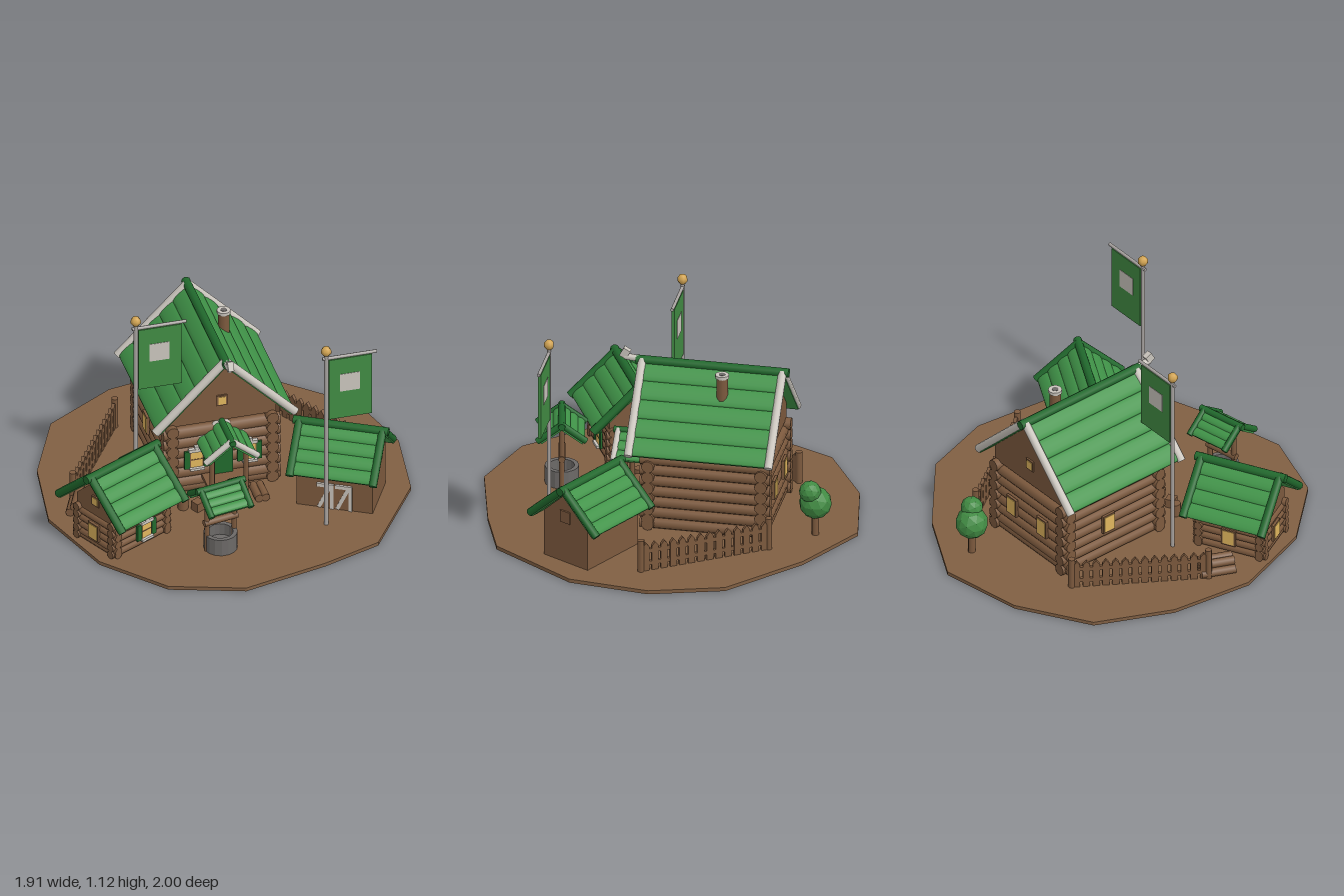
import * as THREE from 'three';

const mat = (name, color) => { const m = new THREE.MeshStandardMaterial({ color }); m.name = name; return m; };
const M = {
  earth: mat('earth brown', 0x805f43), wood: mat('wood brown', 0x7d5a3e), roof: mat('roof green', 0x409348),
  trim: mat('dark green', 0x21692d), cloth: mat('cloth green', 0x418b43), pale: mat('pale timber', 0xcac5bd),
  steel: mat('pole grey', 0xa8a3a0), stone: mat('stone grey', 0x6c6967), gold: mat('gold', 0xd2a452), glass: mat('window yellow', 0xe0b65e),
};
const V = (x, y, z) => new THREE.Vector3(x, y, z);

function add(parent, name, geo, material, x = 0, y = 0, z = 0) {
  const m = new THREE.Mesh(geo, material);
  m.name = name;
  m.position.set(x, y, z);
  parent.add(m);
  return m;
}
const box = (p, name, material, w, h, d, x, y, z) => add(p, name, new THREE.BoxGeometry(w, h, d), material, x, y, z);

// Round timber between two points
function log(p, name, material, a, b, r, sides = 10) {
  const m = add(p, name, new THREE.CylinderGeometry(r, r, a.distanceTo(b), sides), material);
  m.position.copy(a).lerp(b, 0.5);
  m.quaternion.setFromUnitVectors(V(0, 1, 0), b.clone().sub(a).normalize());
  return m;
}
function group(parent, name, x = 0, y = 0, z = 0, ry = 0) {
  const g = new THREE.Group();
  g.name = name;
  g.position.set(x, y, z);
  g.rotation.y = ry;
  parent.add(g);
  return g;
}

// Pitched roof, ridge along local x: slabs, rounded boards, barge logs and ridge log
function roof(p, o) {
  const { half, width, ridge, eave, rows, r, barge = M.trim, cx = 0 } = o;
  const g = group(p, 'roof', cx), rise = ridge - eave, slope = Math.hypot(width, rise);
  for (const s of [-1, 1]) {
    const side = group(g, 'roofSide', 0, (ridge + eave) / 2, s * width / 2);
    side.rotation.x = s * Math.atan2(rise, width);
    box(side, 'roofSlab', M.roof, half * 2 - r, 0.02, slope, 0, 0, 0);
    const pitch = slope / rows;
    const board = new THREE.CylinderGeometry(1, 1, half * 2 - r * 2, 12).rotateZ(Math.PI / 2).scale(1, 0.012, pitch * 0.54);
    for (let i = 0; i < rows; i++) {
      const b = add(side, 'roofBoard', board, M.roof, 0, 0.01, (i + 0.5 - rows / 2) * pitch);
      b.rotation.x = -s * 0.05;
    }
    for (const e of [-1, 1])
      log(side, 'bargeLog', barge, V(e * (half - r), 0.014, -slope / 2 - 0.008), V(e * (half - r), 0.014, slope / 2 + 0.01), r);
  }
  log(g, 'ridgeLog', M.trim, V(-half - r * 0.5, ridge + 0.014, 0), V(half + r * 0.5, ridge + 0.014, 0), r * 1.08);
}

// Gable block extruded along local x
function gable(p, hx, hz, y0, y1, y2) {
  const s = new THREE.Shape([[-hz, y0], [hz, y0], [hz, y1], [0, y2], [-hz, y1]].map(a => new THREE.Vector2(...a)));
  const geo = new THREE.ExtrudeGeometry(s, { depth: hx * 2, bevelEnabled: false }).translate(0, 0, -hx).rotateY(Math.PI / 2);
  add(p, 'gable', geo, M.wood);
}

// Crossed log walls
function logWalls(p, hx, hz, y0, y1, count) {
  const pitch = (y1 - y0) / count, r = pitch * 0.54, o = pitch * 0.75;
  for (let i = 0; i < count; i++) {
    const y = y0 + pitch * (i + 0.5);
    for (const s of [-1, 1]) {
      log(p, 'wallLog', M.wood, V(-hx - o, y, s * hz), V(hx + o, y, s * hz), r);
      const y2 = Math.max(y - pitch * 0.5, y0 + r);
      log(p, 'crossLog', M.wood, V(s * hx, y2, -hz - o), V(s * hx, y2, hz + o), r);
    }
  }
}

// Window facing local +z
function windowAt(p, x, y, z, ry, w, h, shutters = false) {
  const g = group(p, 'window', x, y, z, ry);
  box(g, 'windowFrame', M.wood, w + 0.016, h + 0.016, 0.014, 0, 0, 0);
  box(g, 'windowPane', M.glass, w, h, 0.006, 0, 0, 0.007);
  if (!shutters) return;
  box(g, 'windowBar', M.wood, w, 0.005, 0.006, 0, 0, 0.009);
  box(g, 'lintel', M.pale, w + 0.024, 0.018, 0.022, 0, h / 2 + 0.01, 0.008);
  box(g, 'lintelPeak', M.pale, 0.024, 0.016, 0.02, 0, h / 2 + 0.026, 0.008);
  box(g, 'windowSill', M.pale, w + 0.016, 0.014, 0.03, 0, -h / 2 - 0.006, 0.01);
  for (const s of [-1, 1]) box(g, 'shutter', M.trim, 0.028, h + 0.01, 0.012, s * (w / 2 + 0.02), 0, 0.006);
}

function mainHouse(root) {
  const g = group(root, 'mainHouse', -0.027, 0, -0.235, -Math.PI / 2);
  logWalls(g, 0.295, 0.265, 0.02, 0.44, 7);
  gable(g, 0.31, 0.288, 0.43, 0.53, 0.8);
  roof(g, { half: 0.388, width: 0.355, ridge: 0.822, eave: 0.46, rows: 5, r: 0.022, barge: M.pale, cx: 0.018 });
  const f = group(root, 'houseDetails', -0.027);
  windowAt(f, 0, 0.555, 0.077, 0, 0.04, 0.045);
  windowAt(f, 0, 0.555, -0.547, Math.PI, 0.04, 0.045);
  for (const s of [-1, 1]) {
    windowAt(f, s * 0.14, 0.232, 0.098, 0, 0.062, 0.095, true);
    windowAt(f, s * 0.12, 0.235, -0.568, Math.PI, 0.062, 0.09);
  }
  windowAt(f, -0.303, 0.235, -0.28, -Math.PI / 2, 0.062, 0.09);
  log(f, 'ridgeFinial', M.pale, V(0, 0.842, 0.17), V(0, 0.847, 0.24), 0.018, 8);
  box(f, 'finialHead', M.pale, 0.03, 0.05, 0.04, 0, 0.868, 0.238).rotation.x = -0.5;
  // Chimney
  log(f, 'chimney', M.wood, V(0.112, 0.68, -0.29), V(0.112, 0.835, -0.29), 0.03);
  log(f, 'chimneyCap', M.pale, V(0.112, 0.832, -0.29), V(0.112, 0.85, -0.29), 0.036);
  log(f, 'flue', M.stone, V(0.112, 0.84, -0.29), V(0.112, 0.852, -0.29), 0.017);
  // Porch, door and steps
  box(f, 'door', M.trim, 0.1, 0.19, 0.02, 0, 0.22, 0.1);
  box(f, 'porchFloor', M.wood, 0.22, 0.02, 0.14, 0, 0.115, 0.16);
  for (let i = 0; i < 4; i++) box(f, 'step', M.wood, 0.13, 0.026, 0.05, 0.005, 0.033 + i * 0.026, 0.275 - i * 0.025);
  for (const s of [-1, 1]) log(f, 'porchPost', M.wood, V(s * 0.09, 0.02, 0.22), V(s * 0.09, 0.345, 0.22), 0.014, 8);
  const porch = group(f, 'porch', 0, 0, 0.17, -Math.PI / 2);
  roof(porch, { half: 0.12, width: 0.125, ridge: 0.41, eave: 0.31, rows: 3, r: 0.016, barge: M.pale });
}

function cottage(root) {
  const g = group(root, 'logCottage', -0.63, 0, 0.35, 0.47);
  logWalls(g, 0.17, 0.13, 0.02, 0.23, 5);
  gable(g, 0.18, 0.145, 0.21, 0.285, 0.425);
  roof(g, { half: 0.24, width: 0.228, ridge: 0.446, eave: 0.237, rows: 4, r: 0.022 });
  windowAt(g, 0.02, 0.115, 0.155, 0, 0.06, 0.085, true);
  windowAt(g, 0, 0.12, -0.155, Math.PI, 0.062, 0.08);
  windowAt(g, -0.195, 0.12, 0, -Math.PI / 2, 0.062, 0.08);
  for (const s of [-1, 1]) windowAt(g, s * 0.181, 0.3, 0, s * Math.PI / 2, 0.035, 0.04);
}

function shed(root) {
  const g = group(root, 'shed', 0.545, 0, 0.3, -0.5);
  gable(g, 0.2, 0.145, 0.01, 0.275, 0.41);
  roof(g, { half: 0.24, width: 0.207, ridge: 0.425, eave: 0.237, rows: 4, r: 0.021 });
  for (const s of [-1, 1]) box(g, 'hatch', M.wood, 0.014, 0.065, 0.065, s * 0.202, 0.28, 0);
  // Double doors with diagonal braces
  for (const s of [-1, 1]) {
    const d = group(g, 'shedDoor', s * 0.048, 0, 0.147);
    box(d, 'doorLeaf', M.wood, 0.092, 0.145, 0.008, 0, 0.095, 0);
    box(d, 'topRail', M.pale, 0.088, 0.02, 0.014, 0, 0.162, 0.003);
    box(d, 'doorStile', M.pale, 0.018, 0.145, 0.014, 0.036, 0.095, 0.003);
    box(d, 'doorBrace', M.pale, 0.019, 0.15, 0.012, -0.002, 0.095, 0.003).rotation.z = -0.42;
  }
}

function well(root) {
  const g = group(root, 'well', -0.177, 0, 0.6, 0.2);
  const wall = [[0.065, 0.04], [0.065, 0.115], [0.088, 0.115], [0.088, 0.02]].map(a => new THREE.Vector2(...a)).reverse();
  add(g, 'wellWall', new THREE.LatheGeometry(wall, 16).toNonIndexed(), M.stone).geometry.computeVertexNormals();
  log(g, 'wellFloor', M.stone, V(0, 0.02, 0), V(0, 0.05, 0), 0.07, 16);
  for (const s of [-1, 1]) log(g, 'wellPost', M.wood, V(s * 0.078, 0.02, 0), V(s * 0.078, 0.36, 0), 0.014, 8);
  log(g, 'windlass', M.wood, V(-0.095, 0.19, 0), V(0.095, 0.19, 0), 0.018, 8);
  roof(g, { half: 0.13, width: 0.11, ridge: 0.382, eave: 0.3, rows: 3, r: 0.017 });
}

function banner(root, x, z) {
  const g = group(root, 'banner', x, 0, z);
  log(g, 'pole', M.steel, V(0, 0.01, 0), V(0, 1.07, 0), 0.011);
  log(g, 'crossbar', M.steel, V(-0.02, 1.045, 0), V(0.268, 1.045, 0), 0.009, 8);
  add(g, 'finial', new THREE.SphereGeometry(0.028, 7, 5), M.gold, 0, 1.09, 0);
  box(g, 'flag', M.cloth, 0.228, 0.365, 0.016, 0.128, 0.853, 0);
  box(g, 'flagPatch', M.pale, 0.106, 0.106, 0.02, 0.124, 0.887, 0);
}

// Picket fence between two ground points
function fence(root, ax, az, bx, bz) {
  const len = Math.hypot(bx - ax, bz - az), n = 14;
  const g = group(root, 'fence', ax, 0, az, -Math.atan2(bz - az, bx - ax));
  const s = new THREE.Shape([[-0.018, 0.02], [0.018, 0.02], [0.018, 0.155], [0, 0.178], [-0.018, 0.155]].map(a => new THREE.Vector2(...a)));
  const picket = new THREE.ExtrudeGeometry(s, { depth: 0.018, bevelEnabled: false });
  for (let i = 0; i < n; i++) add(g, 'picket', picket, M.wood, (i + 0.5) * len / n, 0, -0.009);
  for (const y of [0.06, 0.13]) box(g, 'fenceRail', M.wood, len, 0.022, 0.016, len / 2, y, 0);
  for (const x of [0, len]) log(g, 'fencePost', M.wood, V(x, 0.01, 0), V(x, 0.195, 0), 0.018, 8);
}

// Faceted leaf ball
function leaves(p, name, r, x, y, z) {
  const geo = new THREE.IcosahedronGeometry(r, 1);
  geo.computeVertexNormals();
  add(p, name, geo, M.cloth, x, y, z);
}

export function createModel() {
  const root = new THREE.Group();
  root.name = 'logVillage';
  // Ground plate
  const rim = [[0.09, -1], [0.47, -0.79], [0.84, -0.46], [0.955, -0.08], [0.905, 0.34], [0.61, 0.78], [0.3, 0.89],
    [-0.15, 1], [-0.53, 0.88], [-0.81, 0.57], [-0.96, 0.13], [-0.9, -0.31], [-0.72, -0.7], [-0.35, -0.92]];
  const shape = new THREE.Shape(rim.map(([x, z]) => new THREE.Vector2(x, -z)));
  add(root, 'ground', new THREE.ExtrudeGeometry(shape, { depth: 0.02, bevelEnabled: false }).rotateX(-Math.PI / 2), M.earth);

  mainHouse(root);
  cottage(root);
  shed(root);
  well(root);
  banner(root, -0.47, 0.03);
  banner(root, 0.397, 0.55);
  fence(root, 0.36, -0.59, 0.74, 0);
  fence(root, -0.41, -0.59, -0.795, 0);

  // Barrel, crate and loose logs
  log(root, 'barrel', M.wood, V(-0.27, 0.02, 0.215), V(-0.27, 0.09, 0.215), 0.027);
  box(root, 'crate', M.wood, 0.05, 0.05, 0.05, -0.2, 0.045, 0.245).rotation.y = 0.5;
  for (const x of [0.12, 0.155]) log(root, 'looseLog', M.wood, V(x, 0.043, 0.14), V(x, 0.043, 0.27), 0.022);
  const pile = group(root, 'logPile', -0.77, 0, 0.07, -0.42);
  for (const [x, y] of [[-0.045, 0.042], [0, 0.042], [0.045, 0.042], [-0.022, 0.08], [0.022, 0.08]])
    log(pile, 'firewood', M.wood, V(x, y, -0.09), V(x, y, 0.09), 0.023, 8);

  // Tree
  const tree = group(root, 'tree', 0.15, 0, -0.79);
  log(tree, 'trunk', M.wood, V(0, 0.01, 0), V(0, 0.15, 0), 0.02, 8);
  leaves(tree, 'lowerFoliage', 0.085, 0, 0.2, 0);
  leaves(tree, 'upperFoliage', 0.058, 0.027, 0.272, 0.022);
  return root;
}
